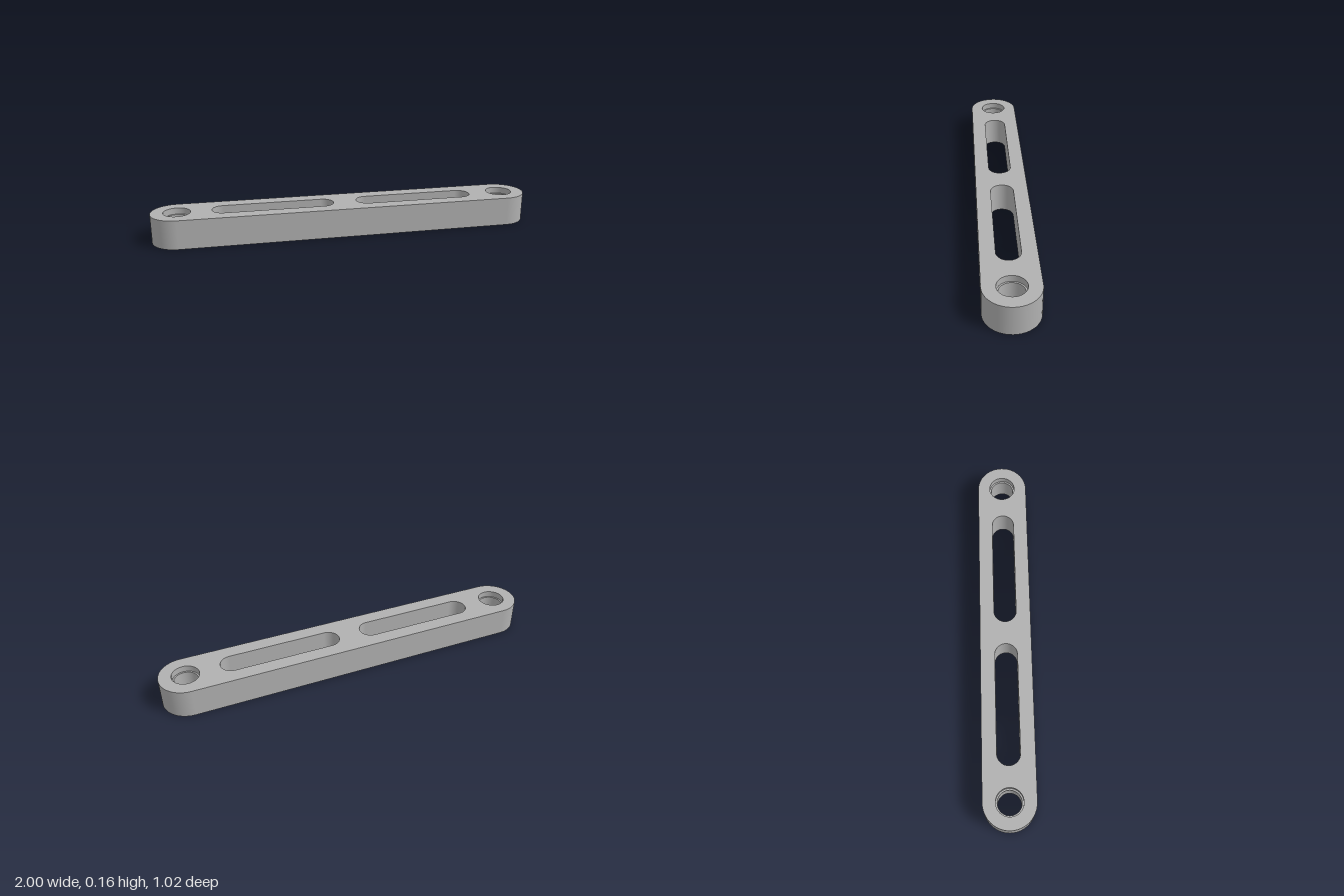
import * as THREE from 'three';

const HEIGHT = 0.162, LEDGE = 0.127;      // bar thickness, height of the counterbore floor
const HALF = 0.9315, RADIUS = 0.143;      // end hole distance from centre, rounded end radius
const ANGLE = Math.atan2(0.365, 0.857);   // the bar lies diagonally
const ARC = 24;

// Stadium outline, counter-clockwise; half = 0 gives a circle
function stadium(cx, half, r) {
  const pts = [];
  for (const side of [1, -1]) {
    for (let i = 0; i <= ARC; i++) {
      const a = Math.PI * (i / ARC - side / 2);
      const nx = Math.cos(a), ny = Math.sin(a);
      pts.push({ x: cx + side * half + nx * r, y: ny * r, nx, ny });
    }
  }
  return pts;
}

// Smooth wall along an outline, facing outward (dir 1) or into a hole (dir -1)
function wall(outline, z0, z1, dir) {
  const pos = [], nor = [], idx = [], n = outline.length;
  outline.forEach((p, i) => {
    pos.push(p.x, p.y, z0, p.x, p.y, z1);
    nor.push(dir * p.nx, dir * p.ny, 0, dir * p.nx, dir * p.ny, 0);
    const a = 2 * i, b = 2 * ((i + 1) % n);
    if (dir > 0) idx.push(a, b, b + 1, a, b + 1, a + 1);
    else idx.push(a, b + 1, b, a, a + 1, b + 1);
  });
  const g = new THREE.BufferGeometry();
  g.setAttribute('position', new THREE.Float32BufferAttribute(pos, 3));
  g.setAttribute('normal', new THREE.Float32BufferAttribute(nor, 3));
  g.setIndex(idx);
  return g;
}

// Flat face with holes
function face(outline, holes, z, down = false) {
  const toPoints = (o) => o.map((p) => new THREE.Vector2(p.x, p.y));
  const shape = new THREE.Shape(toPoints(outline));
  shape.holes = holes.map((h) => new THREE.Path(toPoints(h)));
  const g = new THREE.ShapeGeometry(shape);
  if (down) g.rotateX(Math.PI);
  return g.translate(0, 0, z);
}

export function createModel() {
  const metal = new THREE.MeshStandardMaterial({ color: 0xb0b0b0 });
  metal.name = 'greyMetal';
  const bar = new THREE.Group();
  bar.name = 'linkBar';
  const add = (name, geometry) => {
    geometry.rotateX(-Math.PI / 2);
    const mesh = new THREE.Mesh(geometry, metal);
    mesh.name = name;
    bar.add(mesh);
  };

  const outer = stadium(0, HALF, RADIUS);
  const slots = [-1, 1].map((s) => stadium(s * 0.405, 0.276, 0.063));
  const bores = [-1, 1].map((s) => stadium(s * HALF, 0, 0.065));
  const counterbores = [-1, 1].map((s) => stadium(s * HALF, 0, 0.074));

  // Body
  add('outerWall', wall(outer, 0, HEIGHT, 1));
  add('topFace', face(outer, [...slots, ...counterbores], HEIGHT));
  add('bottomFace', face(outer, [...slots, ...bores], 0, true));

  // Slots and stepped end holes
  for (const i of [0, 1]) {
    const side = i ? 'left' : 'right';
    add(side + 'SlotWall', wall(slots[i], 0, HEIGHT, -1));
    add(side + 'BoreWall', wall(bores[i], 0, LEDGE, -1));
    add(side + 'CounterboreWall', wall(counterbores[i], LEDGE, HEIGHT, -1));
    add(side + 'CounterboreLedge', face(counterbores[i], [bores[i]], LEDGE));
  }

  bar.rotation.y = -ANGLE;
  const model = new THREE.Group();
  model.name = 'slottedLink';
  model.add(bar);
  return model;
}
